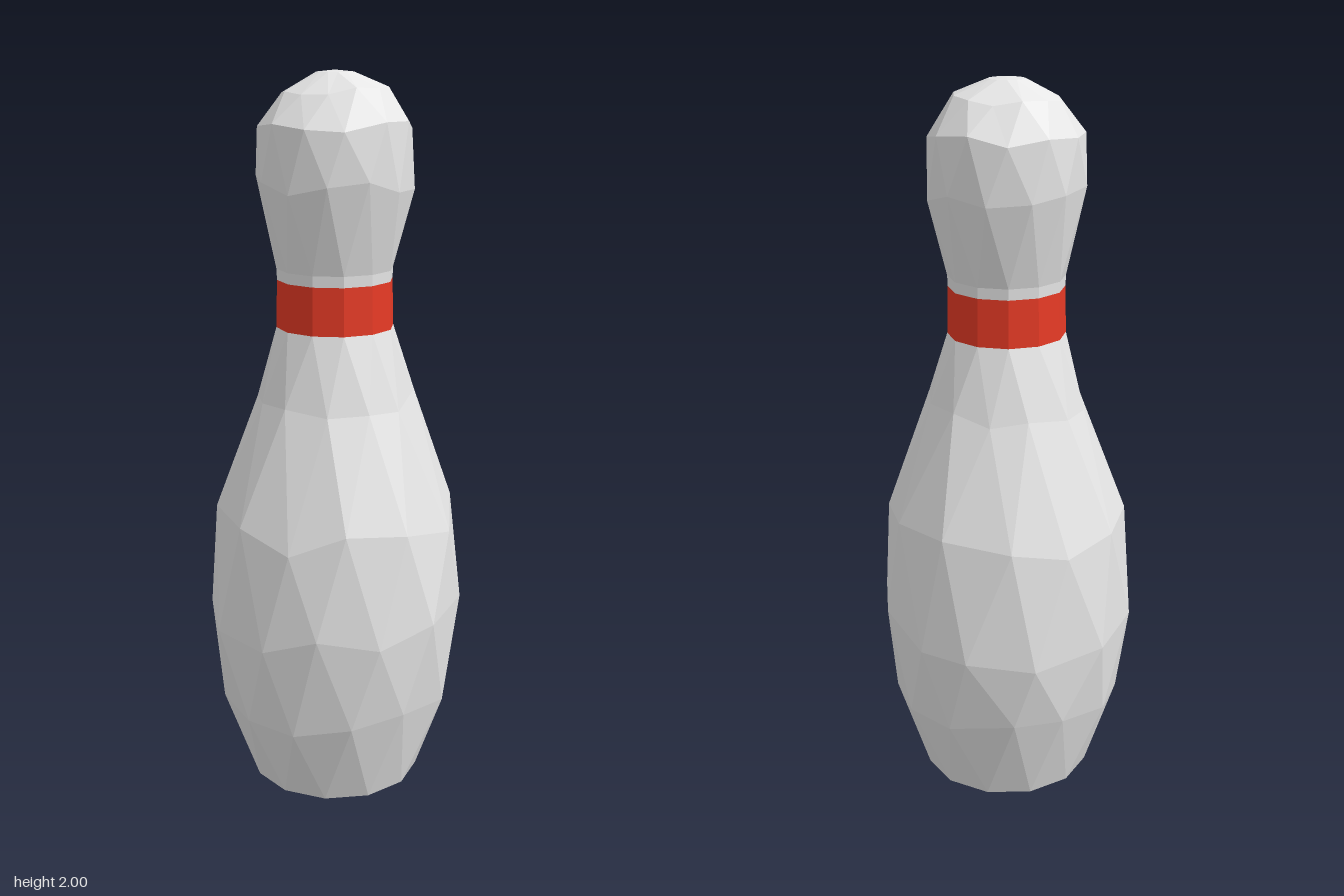
import * as THREE from 'three';

const SIDES = 12;

// Small seeded generator for the hand-cut facet irregularity
let seed = 7;
const jitter = (amount) => {
  seed = (seed * 16807) % 2147483647;
  return (seed / 2147483647 - 0.5) * 2 * amount;
};

// Ring of points; turn is in side steps, wobble loosens height and angle
function ring(y, radius, turn, wobble = 0) {
  return Array.from({ length: SIDES }, (_, i) => {
    const a = ((i + turn + jitter(wobble * 4)) / SIDES) * Math.PI * 2;
    return [Math.sin(a) * radius, y + jitter(wobble), Math.cos(a) * radius];
  });
}

// Faceted skin through rings ordered from bottom to top, with optional end caps
function skin(name, rings, material, { bottom, top } = {}) {
  const points = [];
  for (let r = 0; r < rings.length - 1; r++) {
    const a = rings[r], b = rings[r + 1];
    for (let i = 0; i < SIDES; i++) {
      const j = (i + 1) % SIDES;
      points.push(a[i], a[j], b[i], b[i], a[j], b[j]);
    }
  }
  for (let i = 0; i < SIDES; i++) {
    const j = (i + 1) % SIDES;
    const last = rings[rings.length - 1];
    if (bottom) points.push(rings[0][j], rings[0][i], bottom);
    if (top) points.push(last[i], last[j], top);
  }
  const geometry = new THREE.BufferGeometry();
  geometry.setAttribute('position', new THREE.Float32BufferAttribute(points.flat(), 3));
  geometry.computeVertexNormals();
  const mesh = new THREE.Mesh(geometry, material);
  mesh.name = name;
  return mesh;
}

export function createModel() {
  seed = 7;
  const white = new THREE.MeshStandardMaterial({ color: 0xe6e6e6, flatShading: true });
  white.name = 'white';
  const red = new THREE.MeshStandardMaterial({ color: 0xe63a25, flatShading: true });
  red.name = 'red';

  // Rings shared by neighbouring parts
  const stripeBottom = ring(1.32, 0.162, 2.5);
  const stripeTop = ring(1.45, 0.159, 2.5);

  const pin = new THREE.Group();
  pin.name = 'bowlingPin';

  // Belly, tapering to the neck
  const belly = [
    ring(0, 0.24, 0),
    ring(0.25, 0.325, 0.5, 0.03),
    ring(0.5, 0.36, 1, 0.04),
    ring(0.79, 0.335, 1.5, 0.035),
    ring(1.12, 0.219, 2, 0.025),
    stripeBottom,
  ];
  pin.add(skin('body', belly, white, { bottom: [0, 0, 0] }));

  // Painted band around the neck
  pin.add(skin('neckStripe', [stripeBottom, stripeTop], red));

  // Upper neck and rounded head
  const head = [
    stripeTop,
    ring(1.48, 0.16, 2.5),
    ring(1.71, 0.214, 3, 0.02),
    ring(1.86, 0.208, 3.5, 0.015),
    ring(1.95, 0.142, 4, 0.01),
    ring(1.995, 0.05, 4.5),
  ];
  pin.add(skin('head', head, white, { top: [0, 2, 0] }));

  return pin;
}
